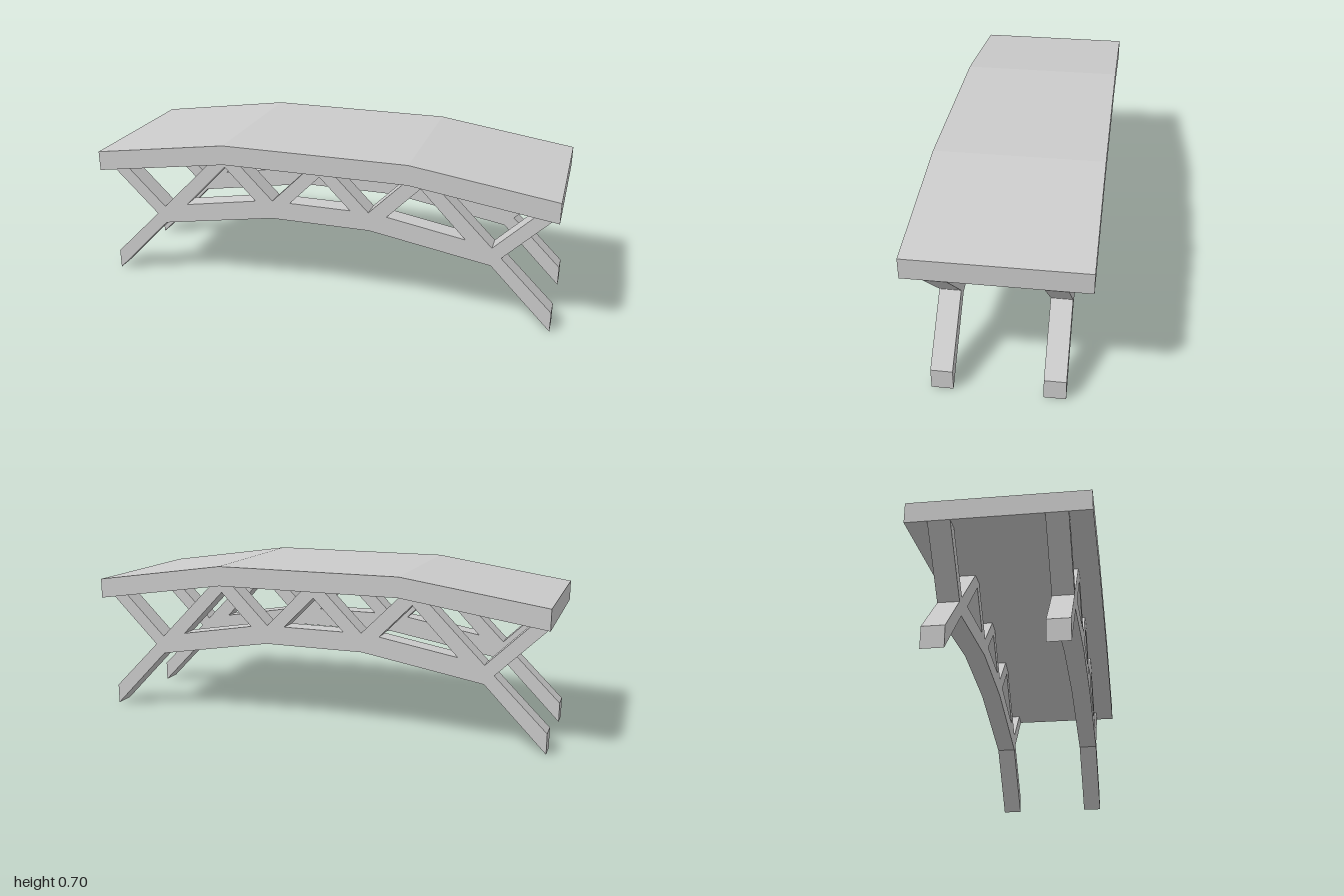
import * as THREE from 'three';

const material = new THREE.MeshStandardMaterial({ color: 0xcccccc, flatShading: true });

const points = (list) => list.map(([x, y]) => new THREE.Vector2(x, y));
const mirrored = (list) => list.map(([x, y]) => [-x, y]).reverse();

// Extrudes a side profile across the bridge, centred on z
function extrude(name, outline, holes, width, z) {
  const shape = new THREE.Shape(points(outline));
  for (const hole of holes) shape.holes.push(new THREE.Path(points(hole)));
  const geometry = new THREE.ExtrudeGeometry(shape, { depth: width, bevelEnabled: false });
  geometry.translate(0, 0, z - width / 2);
  const mesh = new THREE.Mesh(geometry, material);
  mesh.name = name;
  return mesh;
}

export function createModel() {
  const bridge = new THREE.Group();
  bridge.name = 'footbridge';

  // Deck: a slab with a flat middle and two sloping ends
  const deckTop = [[1, 0.609], [0.4, 0.697]];
  const deckBottom = [[0.4, 0.612], [1, 0.523]];
  const deck = [...deckBottom, ...deckTop, ...mirrored(deckTop), ...mirrored(deckBottom)];
  bridge.add(extrude('deck', deck, [], 0.695, 0));

  // Truss: right half of the outline, from lower chord round to the middle peak
  const half = [
    [0.22, 0.353], [0.74, 0.265],                // lower chord
    [1, 0], [1, 0.087],                          // splayed foot
    [0.78, 0.305], [1, 0.523], [0.93, 0.533],    // end strut
    [0.74, 0.345], [0.485, 0.6], [0.4, 0.612], [0.393, 0.612], // side peak
    [0.216, 0.435], [0.039, 0.612],              // valley and middle peak
  ];
  const sideHole = [[0.63, 0.367], [0.435, 0.568], [0.295, 0.425]];
  const middleHole = [[-0.136, 0.434], [0.136, 0.434], [0, 0.57]];
  const outline = [...half, ...mirrored(half)];
  const holes = [sideHole, mirrored(sideHole), middleHole];
  for (const [name, side] of [['frontTruss', 1], ['backTruss', -1]]) {
    bridge.add(extrude(name, outline, holes, 0.086, side * 0.217));
  }

  return bridge;
}
